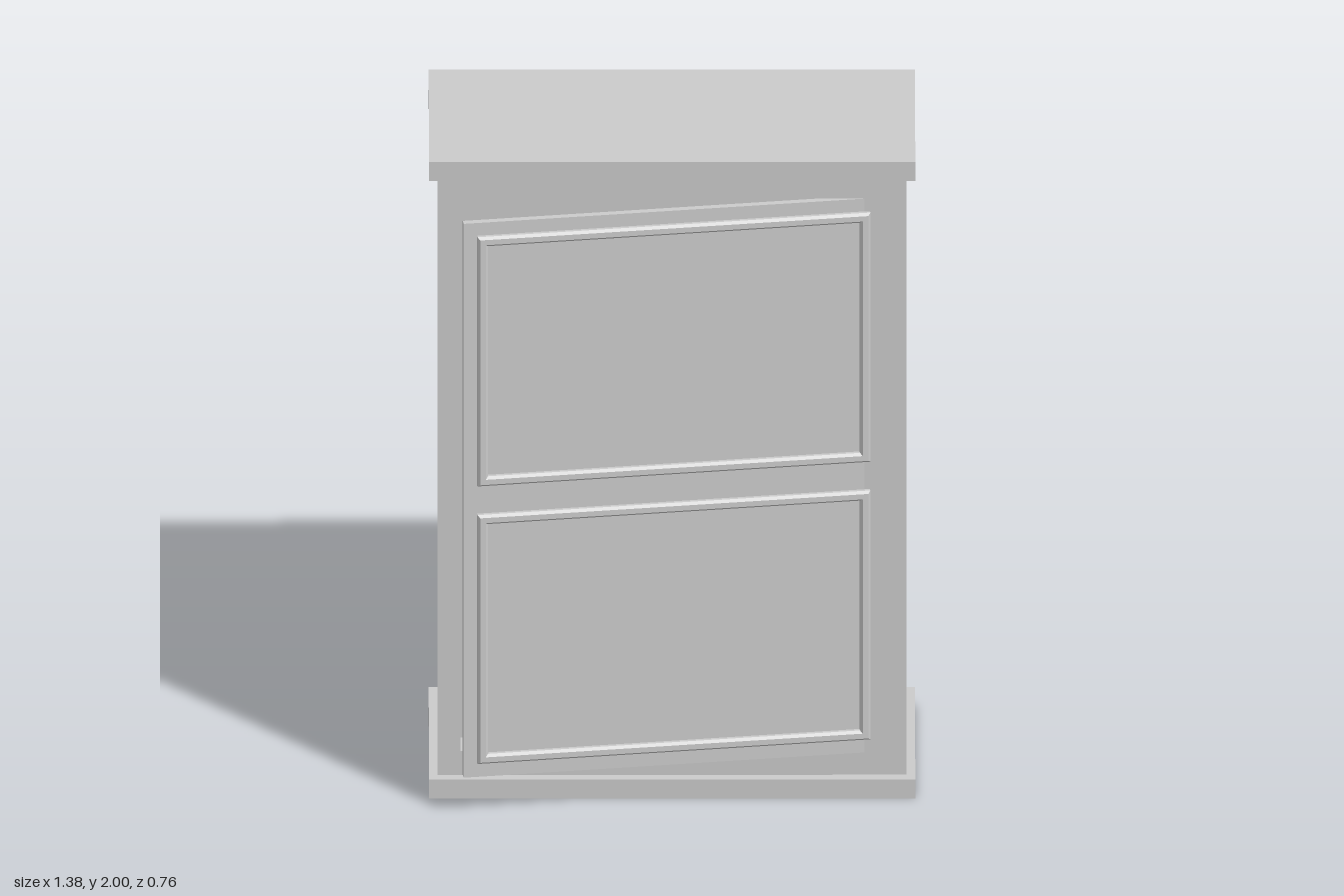
import * as THREE from 'three';

const material = new THREE.MeshStandardMaterial({ color: 0xcccccc, flatShading: true });

function add(parent, name, geometry) {
  const mesh = new THREE.Mesh(geometry, material);
  mesh.name = name;
  parent.add(mesh);
  return mesh;
}

// Box given by its minimum and maximum corners
function box(parent, name, [x0, y0, z0], [x1, y1, z1]) {
  const g = new THREE.BoxGeometry(x1 - x0, y1 - y0, z1 - z0);
  g.translate((x0 + x1) / 2, (y0 + y1) / 2, (z0 + z1) / 2);
  return add(parent, name, g);
}

function rect(Type, x0, y0, x1, y1) {
  return new Type([[x0, y0], [x1, y0], [x1, y1], [x0, y1]].map(([x, y]) => new THREE.Vector2(x, y)));
}

// Rectangular outline with a rectangular opening
function frameShape(outer, inner) {
  const shape = rect(THREE.Shape, ...outer);
  shape.holes.push(rect(THREE.Path, ...inner));
  return shape;
}

export function createModel() {
  const cabinet = new THREE.Group();
  cabinet.name = 'cabinet';

  // Carcass with overhanging base and top slabs
  box(cabinet, 'base', [-0.69, 0, -0.38], [0.69, 0.06, 0.23]);
  box(cabinet, 'top', [-0.69, 1.94, -0.38], [0.69, 2, 0.23]);
  box(cabinet, 'body', [-0.665, 0.06, -0.34], [0.665, 1.94, 0.11]);

  // Front frame around the shallow recess behind the door
  const front = new THREE.ExtrudeGeometry(
    frameShape([-0.665, 0.06, 0.665, 1.94], [-0.6, 0.135, 0.53, 1.865]),
    { depth: 0.09, bevelEnabled: false });
  front.translate(0, 0, 0.11);
  add(cabinet, 'frontFrame', front);

  // Door standing ajar, hinged on the model's left
  const door = new THREE.Group();
  door.name = 'door';
  door.position.set(0.6, 0, 0.172);
  door.rotation.y = 0.1446;
  cabinet.add(door);
  box(door, 'doorLeaf', [-1.207, 0.13, 0], [0, 1.87, 0.02]);

  // Bevelled moulding around each door panel
  for (const [name, y0, y1] of [['lowerMoulding', 0.175, 0.957], ['upperMoulding', 1.047, 1.83]]) {
    const x0 = -1.169, x1 = -0.042, w = 0.03;
    const g = new THREE.ExtrudeGeometry(
      frameShape([x0, y0, x1, y1], [x0 + w, y0 + w, x1 - w, y1 - w]),
      { depth: 0.012, bevelThickness: 0.008, bevelSize: 0.007, bevelOffset: -0.007, bevelSegments: 1 });
    g.translate(0, 0, 0.018);
    add(door, name, g);
  }
  return cabinet;
}
